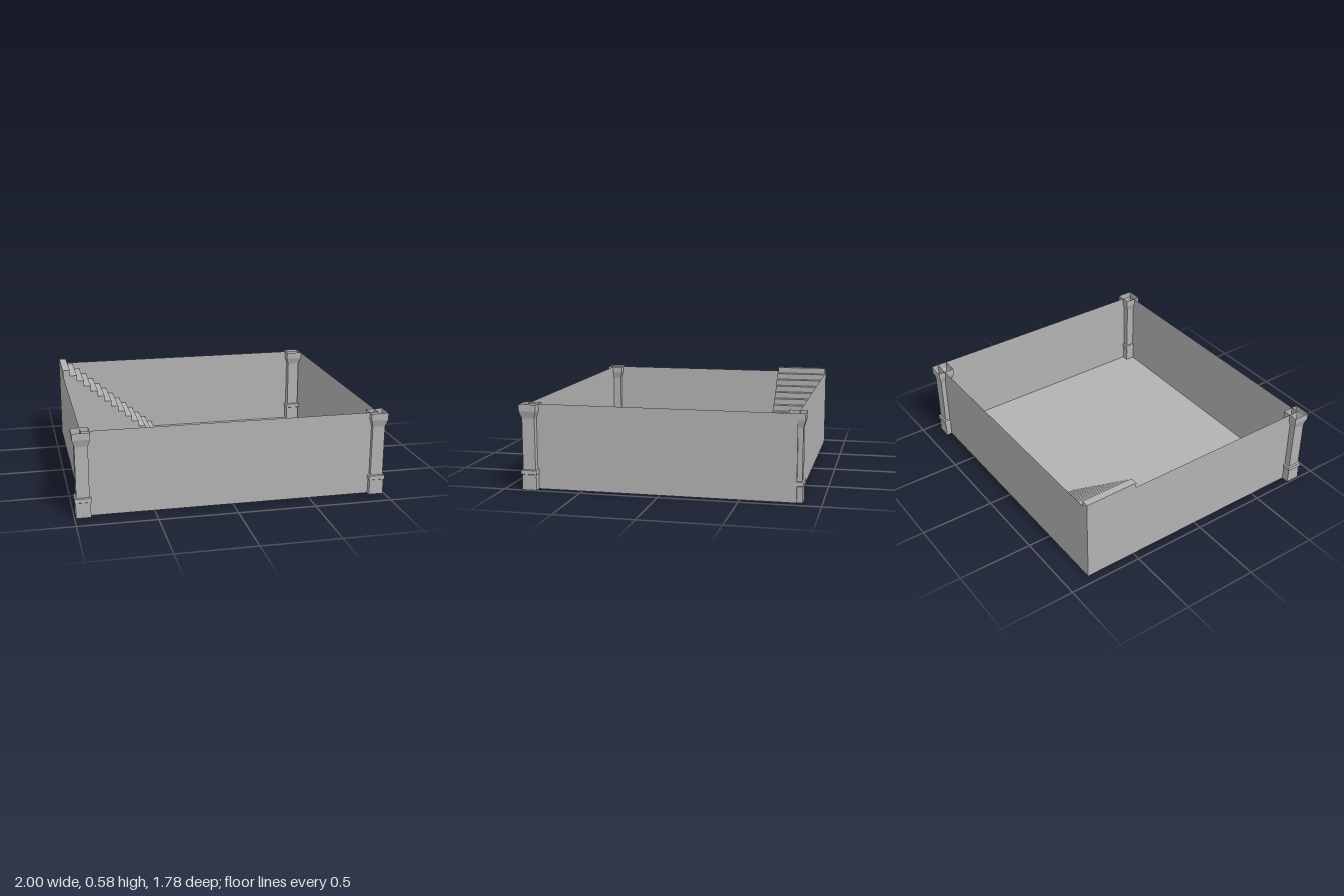
import * as THREE from 'three';

const W = 1.887, D = 1.695, H = 0.545; // room width, depth, wall height

const stone = new THREE.MeshStandardMaterial({ color: 0xb2b2b2, side: THREE.DoubleSide });
stone.name = 'grey stone';

function add(parent, name, geometry, x = 0, y = 0, z = 0) {
  const mesh = new THREE.Mesh(geometry, stone);
  mesh.name = name;
  mesh.position.set(x, y, z);
  parent.add(mesh);
  return mesh;
}

// Hollow square pillar: [half width, height] profile turned in four steps
function pillarGeometry() {
  const profile = [
    [0.047, 0], [0.046, 0.098], [0.053, 0.102], [0.051, 0.126], [0.041, 0.13],
    [0.041, 0.455], [0.044, 0.467], [0.0555, 0.503], [0.0555, 0.547],
  ].map(([r, y]) => new THREE.Vector2(r * Math.SQRT2, y));
  const geometry = new THREE.LatheGeometry(profile, 4, Math.PI / 4).toNonIndexed();
  geometry.computeVertexNormals();
  return geometry;
}

// Solid staircase, highest against the -x wall
function stairGeometry(steps, length, height, width) {
  const shape = new THREE.Shape();
  shape.moveTo(0, 0.002);
  for (let i = 0; i < steps; i++) {
    const y = height * (1 - i / steps);
    shape.lineTo((length * i) / steps, y);
    shape.lineTo((length * (i + 1)) / steps, y);
  }
  shape.lineTo(length, 0.002);
  shape.closePath();
  return new THREE.ExtrudeGeometry(shape, { depth: width, bevelEnabled: false });
}

export function createModel() {
  const model = new THREE.Group();
  model.name = 'walledRoom';
  const cx = 0.002, cz = 0.002;

  // Floor and thin walls
  add(model, 'floor', new THREE.PlaneGeometry(W, D).rotateX(-Math.PI / 2), cx, 0, cz);
  for (const s of [1, -1]) {
    const turn = s > 0 ? 0 : Math.PI;
    add(model, s > 0 ? 'frontWall' : 'backWall',
      new THREE.PlaneGeometry(W, H).rotateY(turn), cx, H / 2, cz + s * D / 2);
    add(model, s > 0 ? 'leftWall' : 'rightWall',
      new THREE.PlaneGeometry(D, H).rotateY(turn + Math.PI / 2), cx + s * W / 2, H / 2, cz);
  }

  // Corner pillars; the back right corner holds the stairs instead
  const pillar = pillarGeometry();
  add(model, 'frontLeftPillar', pillar, 0.9445, 0, 0.834);
  add(model, 'frontRightPillar', pillar, -0.9445, 0, 0.834);
  add(model, 'backLeftPillar', pillar, 0.889, 0, -0.836);

  // Stairs
  add(model, 'stairs', stairGeometry(14, 0.692, 0.578, 0.357), -0.9405, 0, -0.842);
  return model;
}
